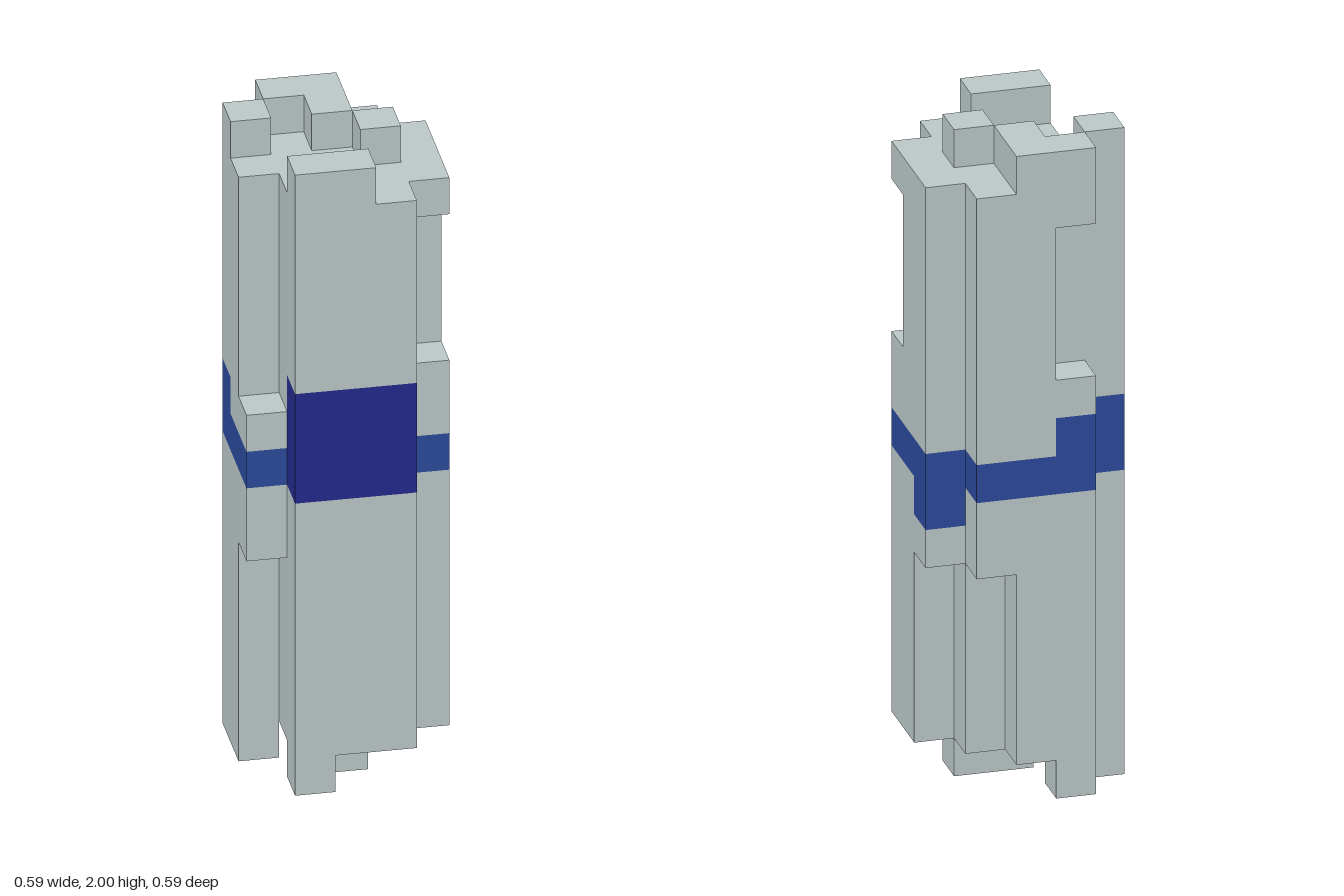
import * as THREE from 'three';

// The model is a block pillar on a 5 x 17 x 5 grid of cubes.
const NX = 5, NY = 17, NZ = 5, S = 2 / NY;

const grey = new THREE.MeshStandardMaterial({ color: 0xbcc8c8 });
grey.name = 'paleGrey';
const blue = new THREE.MeshStandardMaterial({ color: 0x2c4a9c });
blue.name = 'bandBlue';
const navy = new THREE.MeshStandardMaterial({ color: 0x232b8c });
navy.name = 'panelNavy';

// Blocks are [x0, x1, y0, y1, z0, z1], cell ranges with the end excluded.
// Later parts replace cells of earlier ones; null carves cells away.
const PARTS = [
  { name: 'shaft', material: grey, blocks: [[1, 4, 1, 16, 0, 5], [0, 5, 1, 16, 1, 4]] },
  { name: 'carving', material: null, blocks: [
    [4, 5, 11, 15, 3, 4],                       // front right slot
    [1, 2, 11, 15, 0, 1],                       // back slot
    [4, 5, 1, 6, 1, 2], [3, 4, 1, 6, 0, 1],     // lower back corner
    [0, 1, 10, 16, 3, 4], [0, 1, 1, 6, 3, 4],   // front side rib ends
  ] },
  { name: 'crown', material: grey, blocks: [
    [1, 3, 16, 17, 4, 5], [0, 1, 16, 17, 1, 2], [3, 4, 16, 17, 2, 3],
    [1, 3, 16, 17, 0, 1], [2, 3, 16, 17, 1, 2],
  ] },
  { name: 'feet', material: grey, blocks: [
    [1, 2, 0, 1, 4, 5], [2, 3, 0, 1, 2, 4], [3, 4, 0, 1, 2, 3],
    [1, 2, 0, 1, 0, 1], [0, 1, 0, 1, 1, 3],
  ] },
  { name: 'band', material: blue, blocks: [
    [1, 4, 8, 9, 0, 5], [0, 5, 8, 9, 1, 4],
    [4, 5, 7, 8, 1, 2], [1, 2, 9, 10, 0, 1], [0, 1, 9, 10, 1, 2],
  ] },
  { name: 'frontPanel', material: navy, blocks: [[1, 4, 8, 11, 4, 5]] },
];

function fillGrid() {
  const cells = new Map();
  for (const part of PARTS) {
    for (const [x0, x1, y0, y1, z0, z1] of part.blocks) {
      for (let x = x0; x < x1; x++)
        for (let y = y0; y < y1; y++)
          for (let z = z0; z < z1; z++) {
            if (part.material) cells.set(`${x},${y},${z}`, part);
            else cells.delete(`${x},${y},${z}`);
          }
    }
  }
  return cells;
}

// Outer faces of one part's cubes; faces between touching cubes are left out.
function skin(cells, part) {
  const positions = [], normals = [], index = [];
  for (const [key, owner] of cells) {
    if (owner !== part) continue;
    const cell = key.split(',').map(Number);
    for (let axis = 0; axis < 3; axis++) {
      for (const side of [-1, 1]) {
        const next = cell.slice();
        next[axis] += side;
        if (cells.has(next.join(','))) continue;
        const u = (axis + 1) % 3, v = (axis + 2) % 3;
        const normal = [0, 0, 0];
        normal[axis] = side;
        const first = positions.length / 3;
        for (const [du, dv] of [[0, 0], [1, 0], [1, 1], [0, 1]]) {
          const p = cell.slice();
          p[axis] += side > 0 ? 1 : 0;
          p[u] += du;
          p[v] += dv;
          positions.push((p[0] - NX / 2) * S, p[1] * S, (p[2] - NZ / 2) * S);
          normals.push(...normal);
        }
        const order = side > 0 ? [0, 1, 2, 0, 2, 3] : [0, 2, 1, 0, 3, 2];
        index.push(...order.map((n) => first + n));
      }
    }
  }
  const geometry = new THREE.BufferGeometry();
  geometry.setAttribute('position', new THREE.Float32BufferAttribute(positions, 3));
  geometry.setAttribute('normal', new THREE.Float32BufferAttribute(normals, 3));
  geometry.setIndex(index);
  return geometry;
}

export function createModel() {
  const model = new THREE.Group();
  model.name = 'blockPillar';
  const cells = fillGrid();
  for (const part of PARTS) {
    if (!part.material) continue;
    const mesh = new THREE.Mesh(skin(cells, part), part.material);
    mesh.name = part.name;
    model.add(mesh);
  }
  return model;
}
